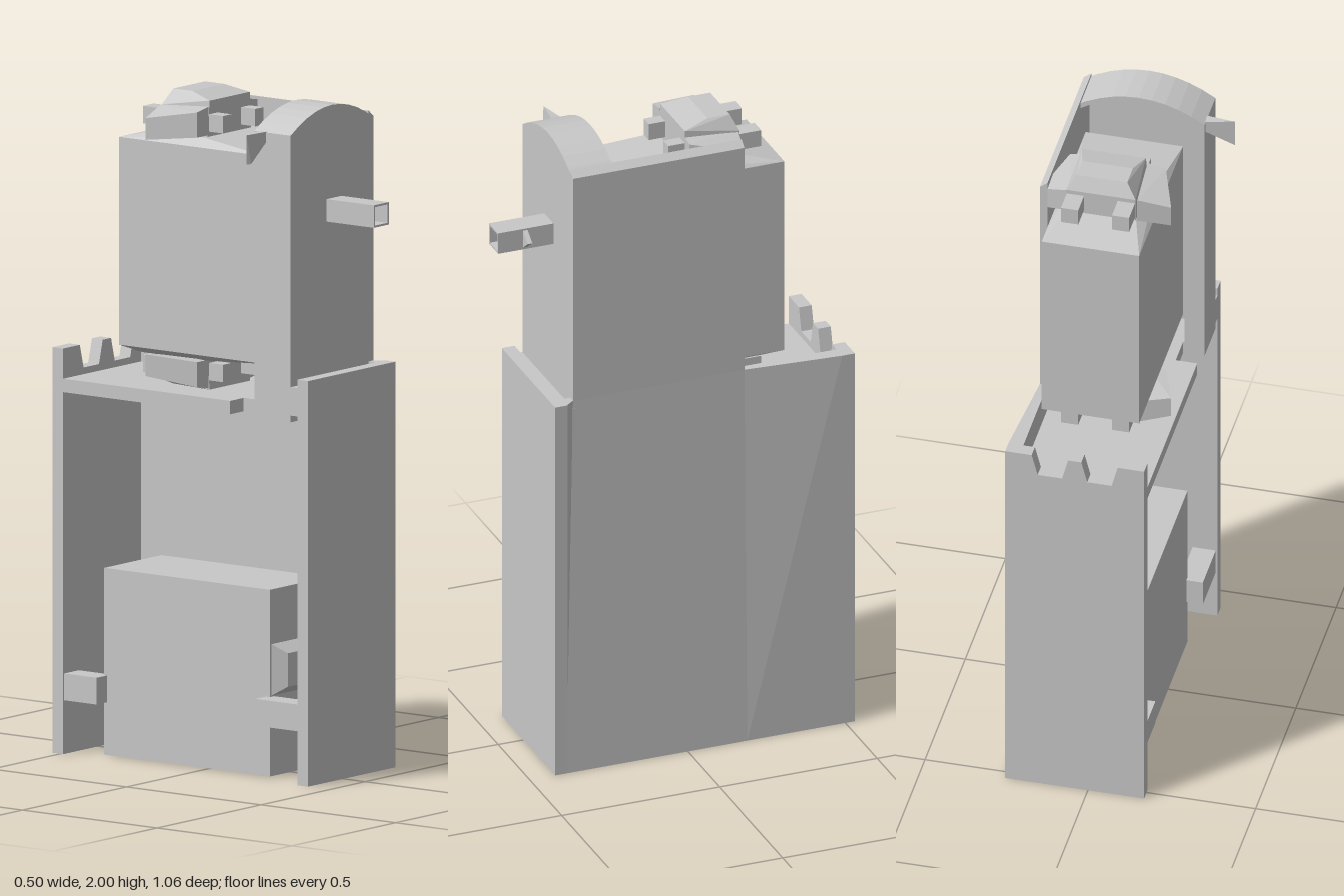
import * as THREE from 'three';
import { ConvexGeometry } from 'three/addons/geometries/ConvexGeometry.js';

export function createModel() {
  const group = new THREE.Group();
  const grey = new THREE.MeshStandardMaterial({ color: 0xc8c8c8 });
  grey.name = 'stone grey';

  const add = (name, geometry, parent = group) => {
    const mesh = new THREE.Mesh(geometry, grey);
    mesh.name = name;
    parent.add(mesh);
    return mesh;
  };
  // Box given by its limits on each axis
  const block = (name, x0, x1, y0, y1, z0, z1, parent) => {
    const g = new THREE.BoxGeometry(x1 - x0, y1 - y0, z1 - z0);
    g.translate((x0 + x1) / 2, (y0 + y1) / 2, (z0 + z1) / 2);
    return add(name, g, parent);
  };
  const hull = (name, points, parent) =>
    add(name, new ConvexGeometry(points.map((p) => new THREE.Vector3(...p))), parent);
  const rect = (x0, x1, y, z0, z1) => [[x0, y, z0], [x1, y, z0], [x1, y, z1], [x0, y, z1]];
  const extrude = (name, shape, z0, z1) => {
    const g = new THREE.ExtrudeGeometry(shape, { depth: z1 - z0, bevelEnabled: false });
    g.translate(0, 0, z0);
    return add(name, g);
  };

  // Lower side wall: its top edge is drawn in to meet the narrower upper wall
  const side = new THREE.BoxGeometry(1, 1, 3, 1, 1, 3);
  const stations = [-0.49, -0.19, 0.355, 0.385];
  const pos = side.attributes.position;
  for (let i = 0; i < pos.count; i++) {
    const k = Math.round(pos.getZ(i) + 1.5);
    const top = pos.getY(i) > 0;
    const drawnIn = top && (k === 1 || k === 2);
    pos.setXYZ(i, pos.getX(i) < 0 ? 0.205 : drawnIn ? 0.228 : 0.25, top ? 1.21 : 0, stations[k]);
  }
  const sideFlat = side.toNonIndexed();
  sideFlat.computeVertexNormals();
  add('lowerSideWall', sideFlat);

  // Lower front wall and the ledge behind it
  block('lowerFrontWall', -0.17, 0.25, 0, 1.21, 0.38, 0.42);
  block('frontLedge', -0.17, 0.23, 1.1, 1.185, 0.35, 0.38);

  // Back wall with two notches in its top edge
  const back = new THREE.Shape();
  back.moveTo(-0.17, 0);
  back.lineTo(0.25, 0);
  back.lineTo(0.25, 1.21);
  for (const x of [0.17, 0.02]) {
    back.lineTo(x, 1.21);
    back.lineTo(x - 0.018, 1.14);
    back.lineTo(x - 0.092, 1.14);
    back.lineTo(x - 0.11, 1.21);
  }
  back.lineTo(-0.17, 1.21);
  extrude('notchedBackWall', back, -0.53, -0.49);

  // Deck between the storeys
  block('deck', -0.17, 0.205, 1.08, 1.12, -0.49, 0.13);
  block('deckFront', -0.105, 0.205, 1.08, 1.12, 0.13, 0.23);

  // Upper side wall, its top sloping up to the inside
  hull('upperSideWall', [
    ...rect(0.205, 0.228, 1.2, -0.19, 0.355),
    [0.205, 1.958, -0.19], [0.205, 1.958, 0.355],
    [0.228, 1.94, -0.19], [0.228, 1.94, 0.355],
  ]);

  // Arched front: closed panel with an open frame behind it
  const arch = (x0, x1, y0, ySide, yTop, Type) => {
    const s = new Type();
    s.moveTo(x0, y0);
    s.lineTo(x1, y0);
    s.lineTo(x1, ySide);
    for (let i = 1; i <= 10; i++) {
      const t = 1 - (2 * i) / 10;
      s.lineTo((x0 + x1) / 2 + (t * (x1 - x0)) / 2, ySide + (yTop - ySide) * (1 - t * t));
    }
    s.closePath();
    return s;
  };
  const frame = arch(-0.17, 0.228, 1.08, 1.935, 2, THREE.Shape);
  frame.holes.push(arch(-0.11, 0.205, 1.12, 1.93, 1.985, THREE.Path));
  extrude('archFrame', frame, 0.22, 0.33);
  extrude('archFrontPanel', arch(-0.17, 0.228, 1.08, 1.935, 2, THREE.Shape), 0.33, 0.355);

  // Side spike
  hull('sideSpike', [
    [-0.253, 1.85, 0.255], [-0.253, 1.937, 0.255], [-0.24, 1.85, 0.262],
    [-0.165, 1.937, 0.264], [-0.165, 1.91, 0.264], [-0.11, 1.935, 0.22], [-0.165, 1.9, 0.24],
  ]);

  // Front spout with an open end and a small pointed lug
  const square = (x0, x1, y0, y1) =>
    [[x0, y0], [x1, y0], [x1, y1], [x0, y1]].map((p) => new THREE.Vector2(...p));
  const spout = new THREE.Shape(square(0.003, 0.075, 1.655, 1.722));
  spout.holes.push(new THREE.Path(square(0.009, 0.069, 1.661, 1.716)));
  extrude('spoutRim', spout, 0.48, 0.53);
  block('spoutBody', 0.003, 0.075, 1.655, 1.722, 0.35, 0.48);
  hull('spoutLug', [
    [0.07, 1.657, 0.437], [0.07, 1.72, 0.437], [0.07, 1.657, 0.452], [0.07, 1.72, 0.452],
    [0.113, 1.69, 0.437], [0.113, 1.69, 0.452],
  ]);

  // Upper chamber with shallow hipped ends
  hull('upperChamber', [
    ...rect(-0.107, 0.188, 1.23, -0.332, 0.213),
    ...rect(-0.107, 0.188, 1.85, -0.332, 0.213),
    ...rect(-0.075, 0.155, 1.21, -0.27, -0.03),
    ...rect(-0.065, 0.145, 1.88, -0.2, -0.19),
    ...rect(-0.083, 0.165, 1.875, -0.04, -0.03),
  ]);

  // Cap fittings: mirrored at top and bottom of the chamber (m flips y)
  const MID = 1.545;
  const cap = (name, m, reach) => {
    const g = new THREE.Group();
    g.name = name;
    group.add(g);
    const Y = (y) => MID + m * (Math.min(y, reach) - MID);
    const flip = (pts) => pts.map(([x, y, z]) => [x, Y(y), z]);
    hull('capBody', flip([
      ...rect(-0.065, 0.145, 1.87, -0.205, -0.035),
      ...rect(-0.065, 0.145, 1.955, -0.205, -0.2),
      ...rect(-0.055, 0.138, 1.982, -0.04, -0.035),
      ...rect(-0.035, 0.118, 2, -0.185, -0.115),
    ]), g);
    for (const s of [-1, 1]) {
      const X = (x) => 0.03 + s * x;
      hull('capWing', flip([
        [X(0.1), 1.88, -0.205], [X(0.1), 1.955, -0.205],
        [X(0.198), 1.865, -0.185], [X(0.198), 1.93, -0.185],
        [X(0.09), 1.88, -0.035], [X(0.09), 1.965, -0.035],
        [X(0.145), 1.88, -0.035], [X(0.145), 1.955, -0.035],
      ]), g);
      const xc = 0.04 + s * 0.077;
      const ys = [Y(1.89), Y(1.942)].sort((a, b) => a - b);
      block('rearLug', xc - 0.026, xc + 0.026, ...ys, -0.277, -0.2, g);
      block('frontLug', xc - 0.02, xc + 0.02, ...ys, -0.04, 0.017, g);
    }
  };
  cap('topCap', 1, 2);
  cap('bottomCap', -1, 1.97);

  // Lower chamber with a front boss and brackets to the front and back walls
  block('lowerChamber', -0.115, 0.16, 0.003, 0.56, -0.38, 0.235);
  hull('frontBoss', [
    [-0.11, 0.24, 0.23], [-0.11, 0.4, 0.23], [0.15, 0.24, 0.23], [0.15, 0.4, 0.23],
    [-0.08, 0.27, 0.275], [-0.08, 0.37, 0.275], [0.12, 0.27, 0.275], [0.12, 0.37, 0.275],
  ]);
  for (const x of [-0.165, 0.1]) {
    block('frontBracket', x, x + 0.07, 0.16, 0.24, 0.22, 0.385);
    block('backBracket', x, x + 0.07, 0.16, 0.24, -0.495, -0.37);
  }

  return group;
}
